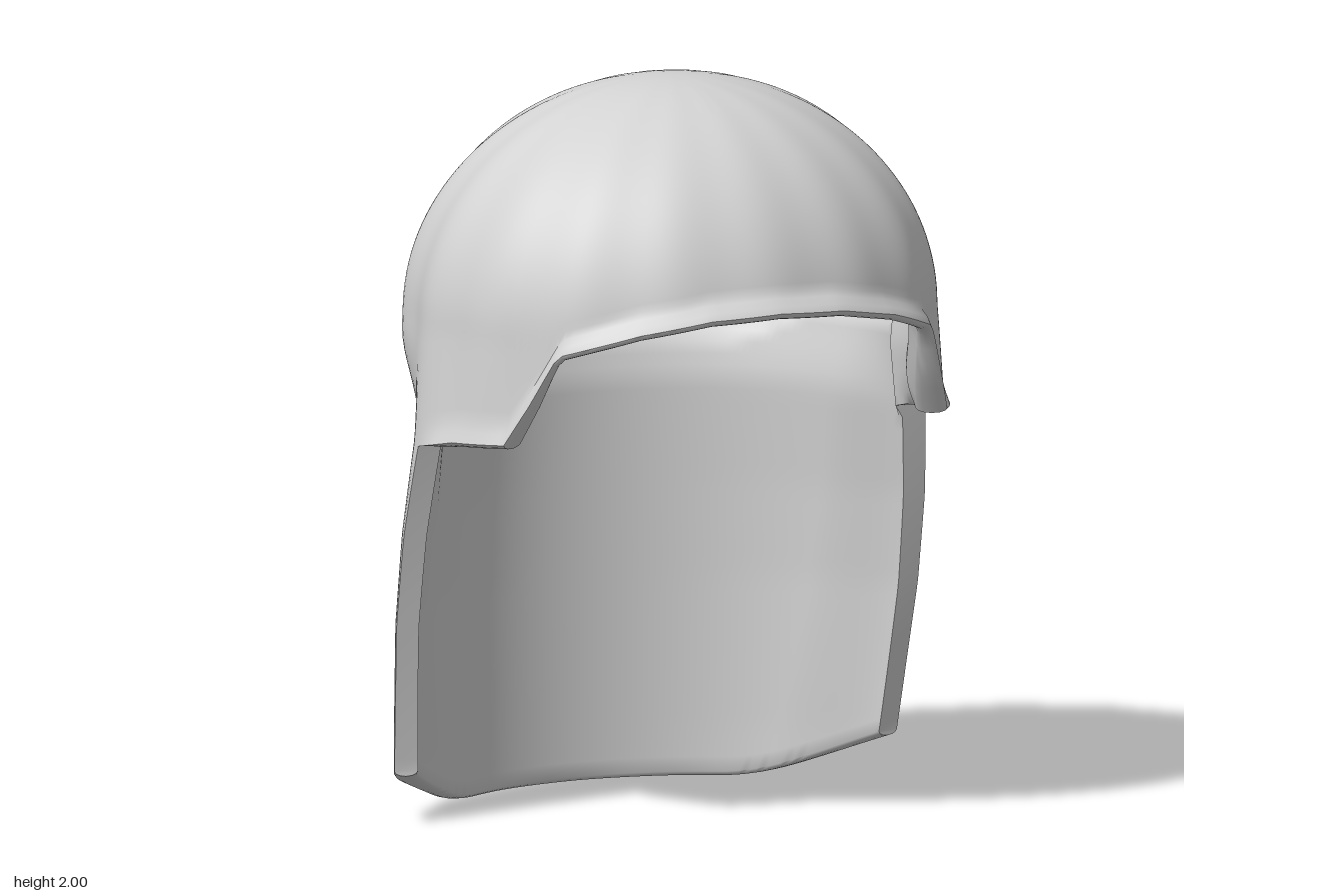
import * as THREE from 'three';
import { toCreasedNormals } from 'three/addons/utils/BufferGeometryUtils.js';

const RAD = Math.PI / 180;
const smooth = THREE.MathUtils.smoothstep;

// Piecewise linear lookup in [key, value] pairs with rising keys.
function lookup(table, k) {
  if (k <= table[0][0]) return table[0][1];
  for (let i = 1; i < table.length; i++) {
    const [k0, v0] = table[i - 1], [k1, v1] = table[i];
    if (k <= k1) return v0 + (v1 - v0) * (k - k0) / (k1 - k0);
  }
  return table[table.length - 1][1];
}

// Radii by height; hem height and lip size by angle away from the front.
const SIDE = [[0, 0.765], [0.14, 0.775], [0.55, 0.785], [0.8, 0.775], [1.1, 0.745], [1.37, 0.72]];
const BACK = [[0, 0.6], [1.08, 0.61], [1.16, 0.628], [1.27, 0.657], [1.37, 0.665]];
const HEM = [[0, 1.455], [15, 1.445], [30, 1.41], [48, 1.345], [54, 1.21], [60, 1.095], [75, 1.085], [90, 1.05]];
const LIP = [[0, 0.042], [35, 0.038], [60, 0.016], [82, 0.016], [90, 0]];
const EQUATOR = 1.37, TOP = 2, SEAM = 1.05;

// Point on the shell: angle from the front, height, depth into the wall (0 to 1), lip size.
function shell(a, y, depth, lip) {
  const c = -Math.cos(a), back = c > 0;
  const h = Math.max(0, (y - EQUATOR) / (TOP - EQUATOR));
  const profile = Math.sqrt(Math.max(0, 1 - h * h));
  // The wall thickens in the side locks and below a ledge inside the nape.
  const ledge = 1.19 + 0.08 * (1 - smooth(c, 0.45, 0.8));
  const wall = back
    ? 0.065 - 0.025 * smooth(y, ledge, ledge + 0.03)
    : 0.04 + 0.045 * smooth(c, -0.75, -0.5) * (1 - smooth(y, 1.2, 1.45));
  const d = depth * wall;
  const ribs = (back ? 0.008 : 0.008 - 0.004 * smooth(-c, 0, 0.4)) * Math.cos(16 * a)
    * (0.4 + 0.6 * smooth(y, 1.0, 1.35)) * (1 - depth) * Math.max(0, 1 - lip / 0.03);
  // Below the nape the sides are drawn in behind a flared front edge.
  const edge = Math.max(0, 0.25 * (SEAM - y) / 0.91);
  const pinch = 0.065 * smooth(c - edge, 0, 0.4) * (1 - smooth(y, 1.05, 1.35));
  const rx = (lookup(SIDE, y) - pinch - d + ribs + lip) * profile;
  const rz = ((back ? lookup(BACK, y) : 0.632) - d + ribs + lip) * profile;
  return [rx * Math.sin(a), y - d * h, rz * Math.cos(a)];
}

// Triangles between successive rows of points.
function skin(rows, out) {
  for (let i = 0; i + 1 < rows.length; i++) {
    for (let j = 0; j + 1 < rows[i].length; j++) {
      const p = rows[i][j], r = rows[i][j + 1], q = rows[i + 1][j], s = rows[i + 1][j + 1];
      out.push(...p, ...q, ...r, ...r, ...q, ...s);
    }
  }
}

// Steps down the outside, round the rim and up the inside: [t, depth, rim drop].
function wallSteps(n) {
  const steps = [];
  for (let i = 0; i <= n; i++) steps.push([i / n, 0, 0]);
  for (let i = 1; i < 6; i++) steps.push([1, (1 - Math.cos(i / 6 * Math.PI)) / 2, Math.sin(i / 6 * Math.PI)]);
  for (let i = n; i >= 0; i--) steps.push([i / n, 1, 0]);
  return steps;
}

const COLUMNS = 192;

// Ribbed cap with an arched fringe, a flared lip and side locks.
function capTriangles(out) {
  const rows = wallSteps(48).map(([t, depth, drop]) => {
    const row = [];
    for (let j = 0; j <= COLUMNS; j++) {
      const a = (j / COLUMNS * 2 - 1) * Math.PI;
      const deg = Math.abs(a) / RAD;
      const hem = lookup(HEM, deg);
      const y = TOP - (TOP - hem) * (1 - Math.cos(t * Math.PI / 2));
      const lip = lookup(LIP, deg) * smooth(hem + 0.05 - y, 0, 0.045);
      const p = shell(a, y, depth, lip);
      p[1] -= 0.014 * drop * (1 - smooth(deg, 76, 90));
      row.push(p);
    }
    return row;
  });
  skin(rows, out);
}

// Long neck curtain: narrows downward and has a raised hem at the sides.
function curtainTriangles(out) {
  const half = COLUMNS / 2;
  const rows = wallSteps(26).map(([t, depth, drop]) => {
    const row = [];
    for (let j = 0; j <= half; j++) {
      const off = (j / half - 0.5) * Math.PI;
      const z = -0.6 * Math.cos(off * 0.84);
      const bottom = 0.014 + 0.15 * smooth(z, -0.49, -0.05);
      const y = SEAM + (bottom - SEAM) * t;
      const a = Math.PI + off * (1 - 0.17 * (SEAM - y) / 0.91);
      const tuck = -0.012 * smooth(bottom + 0.05 - y, 0, 0.05) * smooth(-z, 0.2, 0.45) * (1 - depth);
      const p = shell(a, y, depth, tuck);
      p[1] -= 0.014 * drop;
      row.push(p);
    }
    return row;
  });
  skin(rows, out);
  // Front edges of the curtain close the wall thickness.
  const last = rows.length - 1;
  for (const j of [0, half]) {
    const strip = [];
    for (let i = 0; i <= last / 2; i++) {
      const edge = [rows[i][j], rows[last - i][j]];
      strip.push(j === 0 ? edge.reverse() : edge);
    }
    skin(strip, out);
  }
}

export function createModel() {
  const group = new THREE.Group();
  group.name = 'ribbedHood';
  const grey = new THREE.MeshStandardMaterial({ color: 0xd2d2d2, side: THREE.DoubleSide });
  grey.name = 'light grey';

  // Cap and curtain share one skin so the shading flows across the nape.
  const positions = [];
  capTriangles(positions);
  curtainTriangles(positions);
  const geometry = new THREE.BufferGeometry();
  geometry.setAttribute('position', new THREE.Float32BufferAttribute(positions, 3));
  const hood = new THREE.Mesh(toCreasedNormals(geometry, 40 * RAD), grey);
  hood.name = 'capAndNeckCurtain';
  group.add(hood);
  return group;
}
